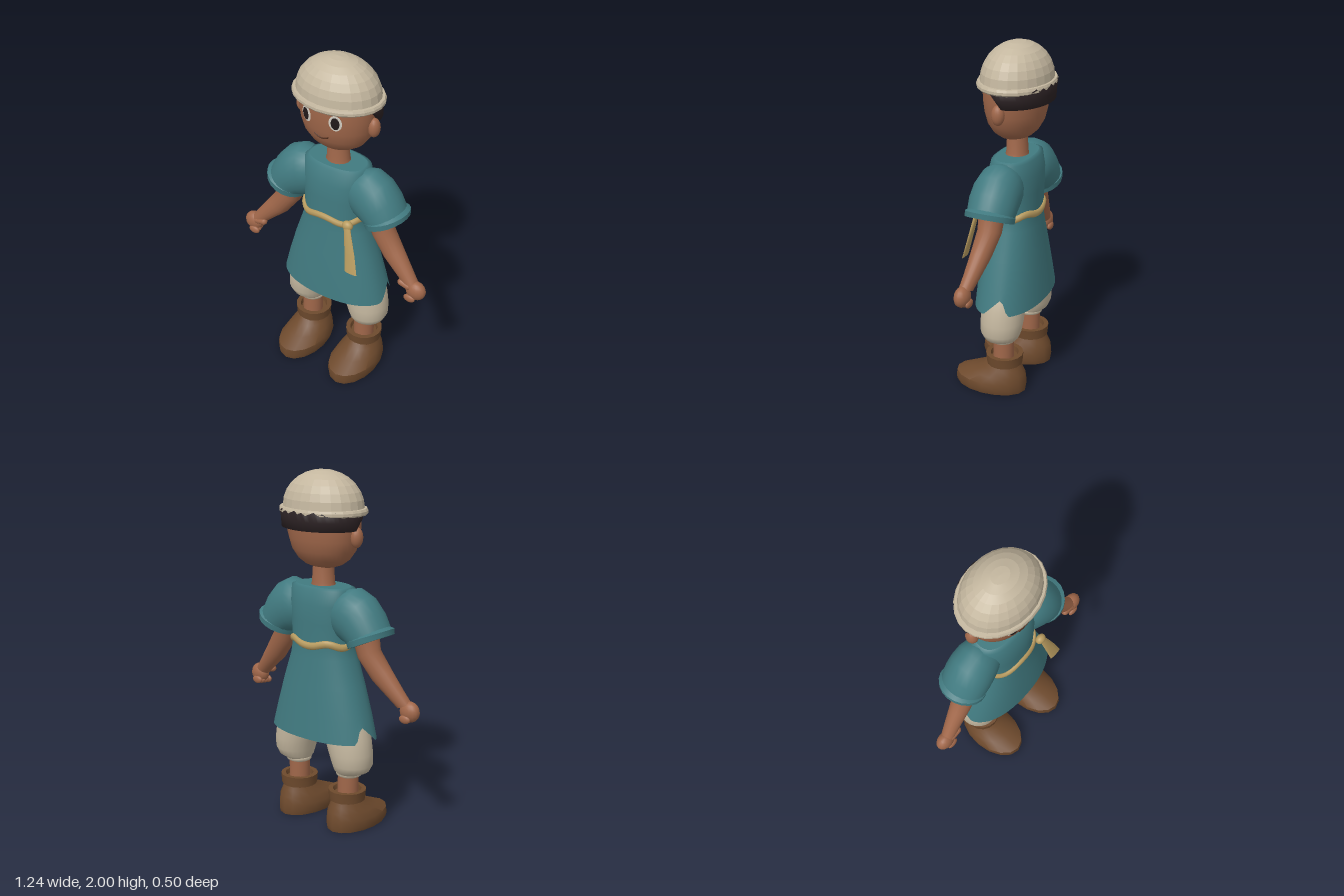
import * as THREE from 'three';
import { toCreasedNormals } from 'three/addons/utils/BufferGeometryUtils.js';

const V = (x, y, z) => new THREE.Vector3(x, y, z);
const mat = (name, color, side = THREE.FrontSide) => {
  const m = new THREE.MeshStandardMaterial({ color, side });
  m.name = name;
  return m;
};

// Ring of a loft: centre c, half axes u and v, squareness e (1 = ellipse)
const ring = (c, u, v, e = 1) => ({ c, u, v, e });
// Horizontal ring at height y
const flat = (y, x, z, rx, rz, e = 1) => ring(V(x, y, z), V(rx, 0, 0), V(0, 0, rz), e);
// Ring spanning two points of the front plane, with depth zr about z
const span = (s, ax, ay, bx, by, z, zr) =>
  ring(V(s * (ax + bx) / 2, (ay + by) / 2, z), V(s * (ax - bx) / 2, (ay - by) / 2, 0), V(0, 0, zr));

// Skin a list of rings, closing the ends when asked
function loft(rings, n = 20, capStart = true, capEnd = true, edit = null) {
  const pos = [], idx = [];
  const pw = (t, e) => Math.sign(t) * Math.abs(t) ** e;
  const addRing = (r, k) => {
    for (let j = 0; j < n; j++) {
      const a = j / n * Math.PI * 2;
      const p = r.c.clone().addScaledVector(r.u, pw(Math.cos(a), r.e)).addScaledVector(r.v, pw(Math.sin(a), r.e));
      if (edit) edit(p, k);
      pos.push(p.x, p.y, p.z);
    }
  };
  rings.forEach(addRing);
  const last = rings.length - 1;
  const way = rings[last].c.clone().sub(rings[0].c);
  const flip = rings[0].u.clone().cross(rings[0].v).dot(way) < 0;
  const tri = (a, b, c) => flip ? idx.push(a, c, b) : idx.push(a, b, c);
  for (let i = 0; i < last; i++) for (let j = 0; j < n; j++) {
    const k = (j + 1) % n, a = i * n, b = a + n;
    tri(a + j, a + k, b + k);
    tri(a + j, b + k, b + j);
  }
  for (const [on, k] of [[capStart, 0], [capEnd, last]]) {
    if (!on) continue;
    const base = pos.length / 3;
    addRing(rings[k], k);
    pos.push(...rings[k].c.toArray());
    for (let j = 0; j < n; j++) {
      const m = (j + 1) % n;
      k ? tri(base + j, base + m, base + n) : tri(base + m, base + j, base + n);
    }
  }
  const g = new THREE.BufferGeometry();
  g.setAttribute('position', new THREE.Float32BufferAttribute(pos, 3));
  g.setIndex(idx);
  g.computeVertexNormals();
  return g;
}

export function createModel() {
  const model = new THREE.Group();
  const skin = mat('skin', 0xa0674a), cloth = mat('teal cloth', 0x417a80, THREE.DoubleSide);
  const linen = mat('linen', 0xc4b79f), leather = mat('boot leather', 0x6e4a2d);
  const sash = mat('sash', 0xb99c60), hairMat = mat('dark hair', 0x2c2224, THREE.DoubleSide);
  const white = mat('eye white', 0xd6d0c4), black = mat('pupil', 0x221a1a), lip = mat('mouth', 0x54301f);
  const add = (name, geo, m, parent = model) => {
    const mesh = new THREE.Mesh(geo, m);
    mesh.name = name;
    parent.add(mesh);
    return mesh;
  };
  const ball = (name, x, y, z, rx, ry, rz, m) =>
    add(name, new THREE.SphereGeometry(1, 16, 12).scale(rx, ry, rz).translate(x, y, z), m);
  const lathe = (pts, n, sz, cz, a = 0, l = Math.PI * 2) =>
    new THREE.LatheGeometry(pts.map(p => new THREE.Vector2(...p)), n, a, l).scale(1, 1, sz).translate(0, 0, cz);

  // Head and neck
  const face = [[0, 1.473], [.07, 1.475], [.115, 1.49], [.158, 1.52], [.195, 1.57], [.214, 1.63], [.224, 1.7], [.226, 1.77], [.22, 1.83]];
  add('head', lathe(face, 40, .75, -.035), skin);
  add('neck', loft([flat(1.35, 0, -.04, .08, .07), flat(1.39, 0, -.04, .066, .06), flat(1.5, 0, -.04, .058, .056)]), skin);

  // Depth of the face surface at x, y
  const faceZ = (x, y) => {
    const i = face.findIndex(p => p[1] > y), [r0, y0] = face[i - 1], [r1, y1] = face[i];
    const r = r0 + (r1 - r0) * (y - y0) / (y1 - y0);
    return -.035 + .75 * Math.sqrt(r * r - x * x);
  };
  const patch = (cx, cy, rx, ry, lift) => {
    const g = new THREE.RingGeometry(0, 1, 24, 3).scale(rx, ry, 1).translate(cx, cy, 0), p = g.attributes.position;
    for (let i = 0; i < p.count; i++) p.setZ(i, faceZ(p.getX(i), p.getY(i)) + lift);
    g.computeVertexNormals();
    return g;
  };
  const smile = [-2, -1, 0, 1, 2].map(i => {
    const x = i * .023, y = 1.588 + .004 * i * i;
    return V(x, y, faceZ(x, y) + .001);
  });
  add('mouth', new THREE.TubeGeometry(new THREE.CatmullRomCurve3(smile), 16, .0045, 6), lip);

  // Cap with rolled rim
  const cap = [[.19, 1.775], [.256, 1.767], [.265, 1.776], [.265, 1.79], [.258, 1.802], [.243, 1.803]];
  for (let i = 1; i <= 7; i++) {
    const t = i / 7 * Math.PI / 2;
    cap.push([.243 * Math.cos(t), 1.803 + .197 * Math.sin(t)]);
  }
  add('cap', toCreasedNormals(lathe(cap, 24, .78, -.04), .15), linen);

  // Hair band around the back, ragged where it meets the cap
  const hair = lathe([[.21, 1.69], [.247, 1.692], [.25, 1.74], [.258, 1.785], [.235, 1.785]], 36, .81, -.04, 1.36, Math.PI * 2 - 2.72);
  const hp = hair.attributes.position;
  for (let i = 0; i < hp.count; i++) {
    const row = i % 5, col = Math.floor(i / 5);
    const low = 1.69 + .075 * THREE.MathUtils.clamp((hp.getZ(i) + .06) / .06, 0, 1);
    hp.setY(i, row > 2 ? 1.775 + .02 * ((col * 7) % 5) / 4 : Math.max(low, hp.getY(i)));
  }
  hair.computeVertexNormals();
  add('hair', hair, hairMat);

  // Tunic body with a slit in the hem on each side
  const tunic = [
    flat(1.376, 0, -.04, .17, .095, .8), flat(1.365, 0, -.04, .195, .115, .8), flat(1.28, 0, -.036, .205, .137, .85),
    flat(1.18, 0, -.034, .196, .14, .85), flat(1.06, 0, -.032, .188, .138, .85), flat(.98, 0, -.032, .205, .143, .9),
    flat(.82, 0, -.032, .26, .16, .9), flat(.66, 0, -.033, .308, .176, .9), flat(.53, 0, -.035, .342, .187, .9)];
  add('tunic', loft(tunic, 64, true, false, (p, k) => {
    if (k < tunic.length - 1 || Math.abs(p.x) < .18) return;
    const d = p.z + .087, h = Math.max(0, 1 - Math.abs(d) / (d > 0 ? .1 : .035));
    p.y += .1 * h;
    p.x *= 1 - .07 * h;
  }), cloth);

  // Sash, knot and hanging tail
  const loop = [];
  for (let i = 0; i < 32; i++) {
    const a = i / 32 * Math.PI * 2;
    loop.push(V(.192 * Math.sign(Math.cos(a)) * Math.abs(Math.cos(a)) ** .85, 1.062 + .007 * Math.sin(a * 5),
      -.03 + .142 * Math.sign(Math.sin(a)) * Math.abs(Math.sin(a)) ** .85));
  }
  const belt = new THREE.TubeGeometry(new THREE.CatmullRomCurve3(loop, true), 64, .013, 8, true);
  add('sash', belt.translate(0, -1.062, 0).scale(1, 1.6, 1).translate(0, 1.062, 0), sash);
  ball('sashKnot', .162, 1.073, .108, .032, .03, .025, sash);
  add('sashTail', toCreasedNormals(loft([
    flat(1.075, .165, .118, .02, .012), flat(1.03, .178, .13, .024, .011), flat(.92, .205, .15, .033, .008), flat(.81, .228, .172, .039, .006)
  ], 12), .8), sash);

  for (const s of [1, -1]) {
    const side = s > 0 ? 'left' : 'right';
    // Face details
    add(side + 'EyeWhite', patch(s * .09, 1.708, .034, .047, .005), white);
    add(side + 'Pupil', patch(s * .092, 1.708, .022, .037, .009), black);
    ball(side + 'Ear', s * .228, 1.655, -.032, .034, .056, .036, skin);

    // Sleeve and folded cuff
    add(side + 'Sleeve', loft([
      span(s, .13, 1.365, .11, 1.12, -.035, .1), span(s, .185, 1.372, .135, 1.1, -.035, .115), span(s, .24, 1.384, .155, 1.085, -.033, .125),
      span(s, .32, 1.345, .175, 1.08, -.031, .132), span(s, .385, 1.27, .19, 1.08, -.03, .134), span(s, .432, 1.18, .205, 1.075, -.03, .13)
    ], 24), cloth);
    add(side + 'Cuff', toCreasedNormals(loft([
      span(s, .415, 1.2, .215, 1.09, -.03, .12), span(s, .45, 1.188, .2, 1.085, -.03, .137), span(s, .452, 1.158, .212, 1.052, -.03, .135),
      span(s, .435, 1.15, .225, 1.055, -.03, .12), span(s, .40, 1.17, .235, 1.09, -.03, .09)
    ], 20), .7), cloth);

    // Arm
    add(side + 'Arm', loft([
      span(s, .36, 1.18, .22, 1.1, -.025, .072), span(s, .372, 1.06, .253, 1.0, -.02, .066), span(s, .45, .95, .34, .885, -.006, .056),
      span(s, .522, .85, .44, .8, .008, .044), span(s, .567, .79, .49, .755, .018, .038)
    ]), skin);

    // Fist: palm, thumb and curled fingers
    ball(side + 'Palm', s * .56, .745, .022, .06, .058, .043, skin);
    const thumb = new THREE.CapsuleGeometry(.02, .05, 4, 10).rotateZ(s * 1.35).translate(s * .5, .775, .042);
    add(side + 'Thumb', thumb, skin);
    for (let f = 0; f < 4; f++)
      ball(side + 'Finger' + (f + 1), s * (.54 + .004 * f), .703 + .002 * f, .056 - f * .023, .036, .024, .015, skin);

    // Baggy trouser leg with gathered band, and shin
    add(side + 'TrouserLeg', loft([
      flat(.76, s * .1, -.04, .1, .1), flat(.66, s * .14, -.04, .14, .12), flat(.54, s * .18, -.042, .14, .123), flat(.45, s * .203, -.042, .128, .121),
      flat(.385, s * .215, -.04, .117, .115), flat(.345, s * .21, -.04, .102, .098), flat(.325, s * .195, -.04, .075, .073)
    ], 24), linen);
    add(side + 'TrouserBand', loft([
      flat(.345, s * .19, -.042, .062, .06), flat(.33, s * .19, -.042, .076, .072), flat(.312, s * .19, -.042, .073, .069), flat(.304, s * .19, -.042, .058, .055)
    ]), linen);
    add(side + 'Shin', loft([flat(.36, s * .186, -.042, .06, .058), flat(.19, s * .186, -.042, .06, .058)]), skin);

    // Boot and its turned-down top
    add(side + 'Boot', toCreasedNormals(loft([
      flat(0, s * .184, .038, .128, .212), flat(.025, s * .184, .038, .137, .217), flat(.065, s * .184, .037, .135, .213),
      flat(.105, s * .184, -.005, .117, .165), flat(.14, s * .184, -.035, .097, .118), flat(.175, s * .184, -.045, .08, .096)
    ], 16), .7), leather);
    add(side + 'BootTop', toCreasedNormals(loft([
      flat(.165, s * .183, -.047, .08, .08), flat(.166, s * .183, -.047, .102, .102), flat(.226, s * .183, -.047, .108, .107),
      flat(.226, s * .183, -.047, .082, .08), flat(.2, s * .183, -.047, .076, .074)
    ], 16, true, true), .6), leather);
  }
  return model;
}
